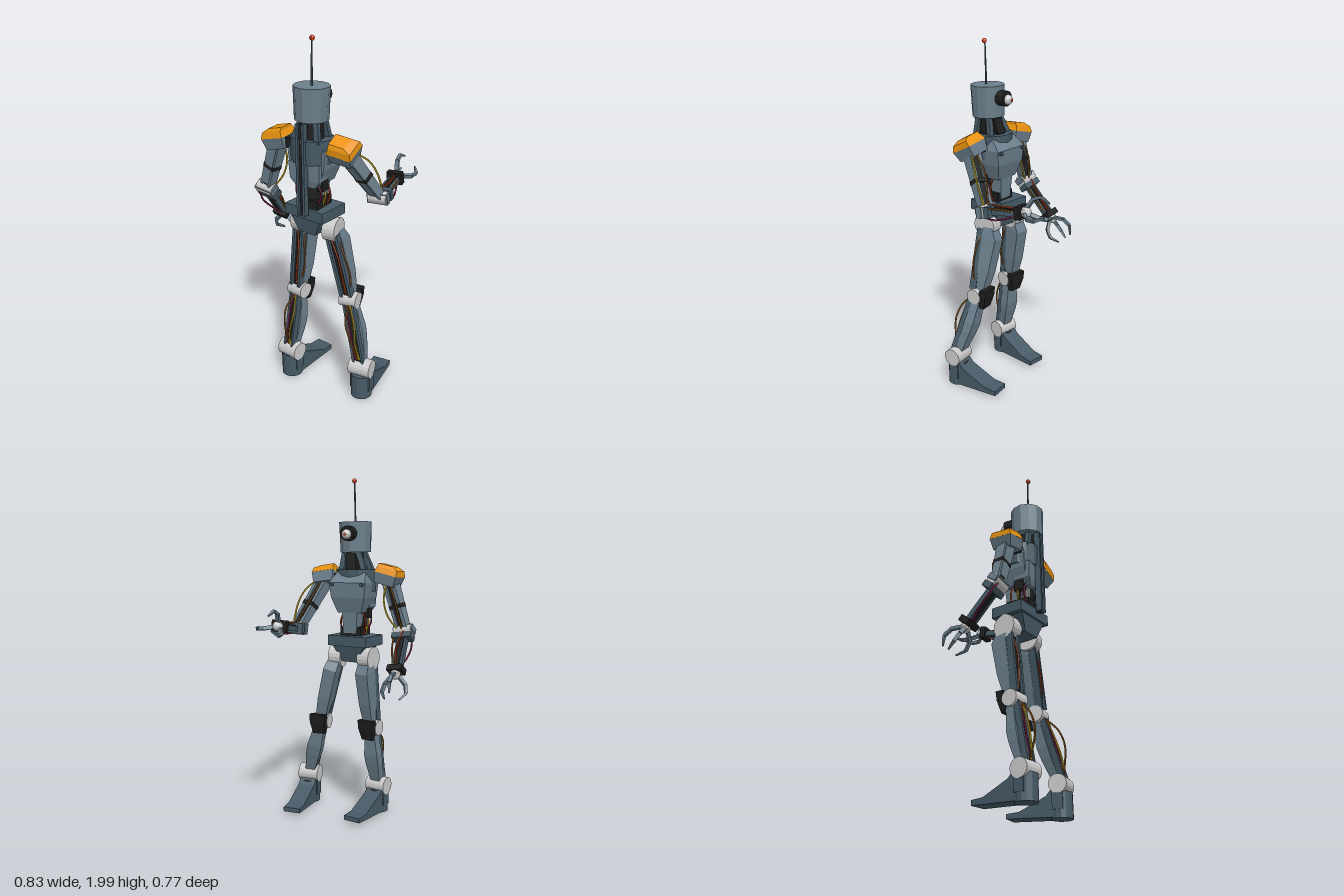
import * as THREE from 'three';

const mat = (color) => new THREE.MeshStandardMaterial({ color, flatShading: true });
const BLUE = mat(0x6b7f8c), DARK = mat(0x465a66), BLACK = mat(0x1e1e1e), PALE = mat(0xcccccc);
const ORANGE = mat(0xe8920f), RED = mat(0xd9431e);
const WIRES = [0xa8401a, 0xd0b020, 0x8a2550, 0x8a5a1c].map(mat);
const V = (p) => new THREE.Vector3(...p);

function add(parent, name, geo, material, pos = [0, 0, 0], rot = [0, 0, 0]) {
  const m = new THREE.Mesh(geo, material);
  m.name = name;
  m.position.set(...pos);
  m.rotation.set(...rot);
  parent.add(m);
  return m;
}
const box = (w, h, d) => new THREE.BoxGeometry(w, h, d);
const cyl = (r1, r2, h, n = 12) => new THREE.CylinderGeometry(r1, r2, h, n);

function group(parent, name, pos = [0, 0, 0], rot = [0, 0, 0]) {
  const g = new THREE.Group();
  g.name = name;
  g.position.set(...pos);
  g.rotation.set(...rot);
  parent.add(g);
  return g;
}

// Rectangular cross-sections [y, x0, x1, z0, z1], listed from top to bottom
function loft(sections) {
  const pos = [], idx = [];
  sections.forEach(([y, x0, x1, z0, z1], k) => {
    pos.push(x0, y, z0, x1, y, z0, x1, y, z1, x0, y, z1);
    if (!k) return;
    for (let i = 0; i < 4; i++) {
      const j = (i + 1) % 4, t = 4 * k - 4, b = 4 * k;
      idx.push(t + i, t + j, b + i, t + j, b + j, b + i);
    }
  });
  const e = 4 * (sections.length - 1);
  idx.push(0, 2, 1, 0, 3, 2, e, e + 1, e + 2, e, e + 2, e + 3);
  const g = new THREE.BufferGeometry();
  g.setAttribute('position', new THREE.Float32BufferAttribute(pos, 3));
  g.setIndex(idx);
  const flat = g.toNonIndexed();
  flat.computeVertexNormals();
  return flat;
}

// Group at a whose -y axis runs to b, with x kept close to the side direction
function limb(parent, name, a, b, side = [1, 0, 0]) {
  const g = group(parent, name, a);
  const y = V(a).sub(V(b)), length = y.length();
  y.normalize();
  const x = V(side);
  x.addScaledVector(y, -x.dot(y)).normalize();
  g.setRotationFromMatrix(new THREE.Matrix4().makeBasis(x, y, x.clone().cross(y)));
  return [g, length];
}

function bar(parent, name, a, b, w, d, material, taper = 1, side) {
  const [g, l] = limb(parent, name, a, b, side);
  const s = (y, k) => [y, -w / 2 * k, w / 2 * k, -d / 2 * k, d / 2 * k];
  add(g, name, loft([s(0, 1), s(-l, taper)]), material);
}

function wire(parent, i, points, r = 0.0055) {
  add(parent, 'cable', new THREE.TubeGeometry(new THREE.CatmullRomCurve3(points.map(V)), 16, r, 5), WIRES[i % 4]);
}

function buildHead(root) {
  const g = group(root, 'head', [0.043, 1.655, 0.27], [0, 0.2, -0.02]);
  add(g, 'headShell', cyl(0.096, 0.09, 0.175), BLUE);
  add(g, 'eyeHousing', cyl(0.043, 0.043, 0.07, 16), BLACK, [0, 0.02, -0.1], [Math.PI / 2, 0, 0]);
  add(g, 'eye', new THREE.SphereGeometry(0.028, 14, 10), PALE, [0, 0.015, -0.14]);
  add(g, 'pupil', new THREE.SphereGeometry(0.01, 8, 6), RED, [0, 0.015, -0.162]);
  add(g, 'antenna', cyl(0.004, 0.006, 0.24, 6), DARK, [0.003, 0.205, 0.006]);
  add(g, 'antennaTip', new THREE.SphereGeometry(0.014, 10, 8), RED, [0.006, 0.322, 0.008]);
}

function buildTorso(root) {
  const g = group(root, 'torso', [0.022, 0, 0.24], [0, 0.15, 0]);
  add(g, 'chest', loft([[1.465, -0.085, 0.085, -0.05, 0.06], [1.395, -0.115, 0.115, -0.12, 0.07],
    [1.31, -0.105, 0.105, -0.113, 0.07], [1.22, -0.075, 0.075, -0.085, 0.06]]), BLUE);
  // Curved upper back and the narrower plate below it
  const back = cyl(0.122, 0.118, 0.13, 14);
  back.scale(1, 1, 0.85);
  add(g, 'upperBack', back, DARK, [0, 1.405, 0.012]);
  add(g, 'lowerBack', loft([[1.345, -0.095, 0.095, 0, 0.095], [1.25, -0.09, 0.09, 0, 0.09],
    [1.21, -0.06, 0.06, 0, 0.08]]), BLUE);
  add(g, 'abdomen', loft([[1.23, -0.05, 0.05, -0.085, 0.01], [1.1, -0.04, 0.04, -0.075, 0.01]]), BLUE);
  add(g, 'waistCore', cyl(0.05, 0.05, 0.2), BLACK, [0, 1.15, 0.015]);
  add(g, 'waistCollar', box(0.13, 0.06, 0.14), BLACK, [0, 1.105, 0]);
  add(g, 'spine', box(0.022, 0.5, 0.03), BLACK, [0, 1.31, 0.1]);
  for (const s of [-1, 1]) {
    add(g, 'spineRail', box(0.014, 0.5, 0.035), DARK, [s * 0.018, 1.31, 0.11]);
    add(g, 'chestKnob', cyl(0.011, 0.011, 0.03, 8), DARK, [s * 0.095, 1.385, -0.122], [Math.PI / 2, 0, 0]);
    add(g, 'sideBlock', box(0.03, 0.06, 0.06), BLACK, [s * 0.07, 1.215, 0.02]);
    for (let i = 0; i < 3; i++) {
      const z = -0.03 + i * 0.04;
      wire(g, i, [[s * 0.05, 1.24, z], [s * 0.08, 1.17, z], [s * (0.075 - i * 0.006), 1.12, z], [s * 0.05, 1.06, z]]);
    }
  }
  // Neck with flaring struts
  add(g, 'neck', cyl(0.05, 0.06, 0.14, 10), BLACK, [0.018, 1.52, 0.025]);
  for (const [sx, sz] of [[-1, -1], [1, -1], [-1, 1], [1, 1]]) {
    bar(g, 'neckStrut', [0.02 + sx * 0.04, 1.58, 0.025 + sz * 0.035], [sx * 0.075, 1.45, 0.02 + sz * 0.055], 0.03, 0.025, DARK);
  }
  add(g, 'throat', loft([[1.56, -0.015, 0.055, -0.04, 0], [1.46, -0.03, 0.03, -0.055, 0]]), BLACK);
}

function buildPelvis(root) {
  const g = group(root, 'pelvis', [0.013, 0, 0.225], [0, 0.04, 0]);
  add(g, 'hipBelt', box(0.26, 0.06, 0.195), DARK, [0, 1.055, 0]);
  add(g, 'hipBlock', loft([[1.03, -0.105, 0.105, -0.085, 0.085], [0.93, -0.055, 0.055, -0.06, 0.07]]), DARK);
}

function buildLeg(root, name, hip, knee, ankle, yaw) {
  const g = group(root, name);
  const joint = (label, p, r, w) => add(g, label, cyl(r, r, w, 20), PALE, p, [0, yaw, Math.PI / 2]);
  joint('hipJoint', hip, 0.068, 0.075);
  joint('kneeJoint', knee, 0.046, 0.1);
  joint('ankleJoint', ankle, 0.052, 0.125);
  const side = [Math.cos(yaw), 0, -Math.sin(yaw)];

  // Thigh: front shell with an open back
  const [t, tl] = limb(g, 'thigh', hip, knee, side);
  add(t, 'thighShell', loft([[-0.01, -0.034, 0.034, -0.05, 0.005], [-0.08, -0.04, 0.04, -0.09, 0.005],
    [-0.27, -0.037, 0.037, -0.072, 0.005], [0.02 - tl, -0.03, 0.03, -0.045, 0.005]]), BLUE);
  add(t, 'thighCore', box(0.034, tl - 0.06, 0.03), BLACK, [0, -tl / 2, 0.015]);
  for (const s of [-1, 1]) add(t, 'thighRail', box(0.016, tl - 0.06, 0.045), DARK, [s * 0.028, -tl / 2, 0.022]);
  wire(t, 0, [[-0.008, -0.06, 0.03], [0.01, -0.16, 0.04], [0.006, -0.28, 0.038], [0, -0.38, 0.028]]);
  wire(t, 3, [[0.03, -0.06, 0.02], [0.052, -0.2, 0.03], [0.05, -0.28, 0.025], [0.02, -0.37, 0.02]]);

  // Shin: front shell bulging at mid length
  const [s, sl] = limb(g, 'shin', knee, ankle, side);
  add(s, 'shinShell', loft([[-0.01, -0.03, 0.03, -0.035, 0.008], [-0.17, -0.045, 0.045, -0.052, 0.008],
    [-0.23, -0.043, 0.043, -0.048, 0.008], [0.02 - sl, -0.028, 0.028, -0.03, 0.008]]), BLUE);
  add(s, 'shinCore', box(0.03, sl - 0.04, 0.03), BLACK, [0, -sl / 2, 0.018]);
  for (const k of [-1, 1]) add(s, 'shinRail', box(0.012, sl - 0.05, 0.04), DARK, [k * 0.026, -sl / 2, 0.022]);
  wire(s, 3, [[0, -0.03, 0.035], [-0.01, -0.11, 0.085], [0, -0.2, 0.09], [0, -0.34, 0.035]]);
  wire(s, 1, [[0.01, -0.03, 0.035], [0.018, -0.15, 0.046], [0.008, -0.25, 0.05], [0.01, -0.34, 0.035]]);
  wire(s, 2, [[-0.012, -0.03, 0.035], [-0.012, -0.18, 0.045], [-0.016, -0.34, 0.035]]);

  const k = group(g, 'kneeGuard', knee, [0, yaw, 0]);
  add(k, 'kneeCap', loft([[0.05, -0.05, 0.05, -0.085, -0.045], [0, -0.048, 0.048, -0.08, -0.03],
    [-0.07, -0.035, 0.035, -0.06, -0.03]]), BLACK);

  // Foot: wedge profile along the walking direction plus a rounded heel
  const f = group(g, 'foot', [ankle[0], 0, ankle[2]], [0, yaw, 0]);
  const shape = new THREE.Shape([[0, 0.005], [0.3, 0.018], [0.3, 0.045], [0.225, 0.05], [0.07, 0.12],
    [0.04, 0.155], [0, 0.155]].map(([x, y]) => new THREE.Vector2(x, y)));
  const wedge = new THREE.ExtrudeGeometry(shape, { depth: 0.104, bevelEnabled: false });
  wedge.translate(0, 0, -0.052);
  wedge.rotateY(Math.PI / 2);
  add(f, 'footWedge', wedge, DARK);
  add(f, 'heel', cyl(0.06, 0.06, 0.14, 14), DARK, [0, 0.07, 0]);
  for (const x of [-1, 1]) add(f, 'ankleBracket', box(0.014, 0.11, 0.06), DARK, [x * 0.053, 0.1, -0.005]);
}

function buildHand(parent, y) {
  const h = group(parent, 'hand', [0, y, 0]);
  add(h, 'wristCuff', box(0.09, 0.035, 0.07), BLACK);
  add(h, 'palm', new THREE.SphereGeometry(0.03, 10, 8), PALE, [0, -0.03, 0]);
  // Three claws, each made of three straight links
  const links = [[0.015, -0.03], [0.068, -0.075], [0.08, -0.125], [0.048, -0.175]];
  for (const deg of [102, 222, 342]) {
    const c = Math.cos(deg * Math.PI / 180), s = -Math.sin(deg * Math.PI / 180);
    const p = links.map(([r, l]) => [c * r, l, s * r]);
    for (let i = 0; i < 3; i++) {
      bar(h, 'claw', p[i], p[i + 1], 0.022 - i * 0.002, 0.017 - i * 0.002, BLUE, i === 2 ? 0.5 : 1, [-s, 0, c]);
    }
  }
}

function buildArm(root, name, s, shoulder, elbow, wrist, pitch) {
  const g = group(root, name);
  const inner = [shoulder[0] - s * 0.12, shoulder[1] - 0.01, shoulder[2]];
  bar(g, 'shoulderAxle', inner, shoulder, 0.055, 0.055, BLACK);

  // Shoulder pad: blue skirt under a painted cap
  const p = group(g, 'shoulderPad', shoulder, [pitch, 0.12, -s * 0.22]);
  add(p, 'padSkirt', loft([[0.012, -0.07, 0.07, -0.066, 0.066], [-0.05, -0.06, 0.06, -0.055, 0.055]]), BLUE);
  add(p, 'padCap', loft([[0.062, -0.045 - s * 0.02, 0.045 - s * 0.02, -0.04, 0.04],
    [0.045, -0.062, 0.062, -0.055, 0.055], [0.012, -0.071, 0.071, -0.067, 0.067]]), ORANGE);

  const [u, ul] = limb(g, 'upperArm', shoulder, elbow);
  add(u, 'upperArmCore', box(0.035, ul, 0.04), BLACK, [0, -ul / 2, 0]);
  for (const k of [-1, 1]) {
    add(u, 'upperArmRail', loft([[-0.02, k * 0.028 - 0.011, k * 0.028 + 0.011, -0.035, 0.035],
      [-ul, k * 0.026 - 0.009, k * 0.026 + 0.009, -0.024, 0.024]]), BLUE);
  }
  add(u, 'upperArmPlate', loft([[-0.03, -0.03, 0.03, 0.018, 0.038], [0.04 - ul, -0.022, 0.022, 0.012, 0.028]]), BLUE);
  add(u, 'upperArmBand', box(0.075, 0.025, 0.065), BLACK, [0, -ul * 0.55, 0]);
  wire(u, 1, [[0.02, -0.04, -0.03], [0.045, -0.13, -0.055], [0.05, -0.22, -0.05], [0.02, -ul, -0.02]]);
  wire(u, 3, [[-0.01, -0.05, -0.03], [-0.02, -0.17, -0.045], [0, -ul, -0.025]]);

  const [f, fl] = limb(g, 'forearm', elbow, wrist);
  add(f, 'elbowJoint', cyl(0.036, 0.036, 0.105, 16), PALE, [0, 0, 0], [0, 0, Math.PI / 2]);
  for (const y of [0.008, -0.042]) add(f, 'elbowClamp', box(0.12, 0.034, 0.062), y > 0 ? BLUE : DARK, [0, y, 0]);
  add(f, 'forearmCore', box(0.034, fl, 0.034), BLACK, [0, -fl / 2, 0]);
  for (const k of [-1, 1]) add(f, 'forearmRail', box(0.014, fl * 0.92, 0.03), DARK, [k * 0.024, -fl / 2, 0.004]);
  wire(f, 2, [[s * 0.03, 0, 0.03], [s * 0.045, -fl * 0.35, 0.04], [s * 0.03, -fl * 0.7, 0.03], [0.01, -fl, 0.015]]);
  wire(f, 0, [[-0.01, -0.02, -0.03], [0.012, -fl * 0.5, -0.028], [0, -fl, -0.018]]);
  wire(f, 3, [[0.04, 0.01, -0.02], [0.045, -fl * 0.45, -0.02], [0.02, -fl, 0]]);
  buildHand(f, -fl);
}

export function createModel() {
  const root = new THREE.Group();
  root.name = 'robot';
  buildHead(root);
  buildTorso(root);
  buildPelvis(root);
  buildLeg(root, 'trailingLeg', [-0.085, 0.955, 0.215], [-0.09, 0.535, 0.257], [-0.097, 0.16, 0.322], 0.02);
  buildLeg(root, 'leadingLeg', [0.12, 0.955, 0.2], [0.222, 0.547, 0.177], [0.348, 0.18, 0.225], 0.25);
  buildArm(root, 'loweredArm', -1, [-0.178, 1.43, 0.287], [-0.275, 1.12, 0.3], [-0.32, 0.92, 0.14], 0.05);
  buildArm(root, 'raisedArm', 1, [0.217, 1.42, 0.222], [0.285, 1.125, 0.015], [0.232, 1.16, -0.205], 0.45);
  return root;
}
